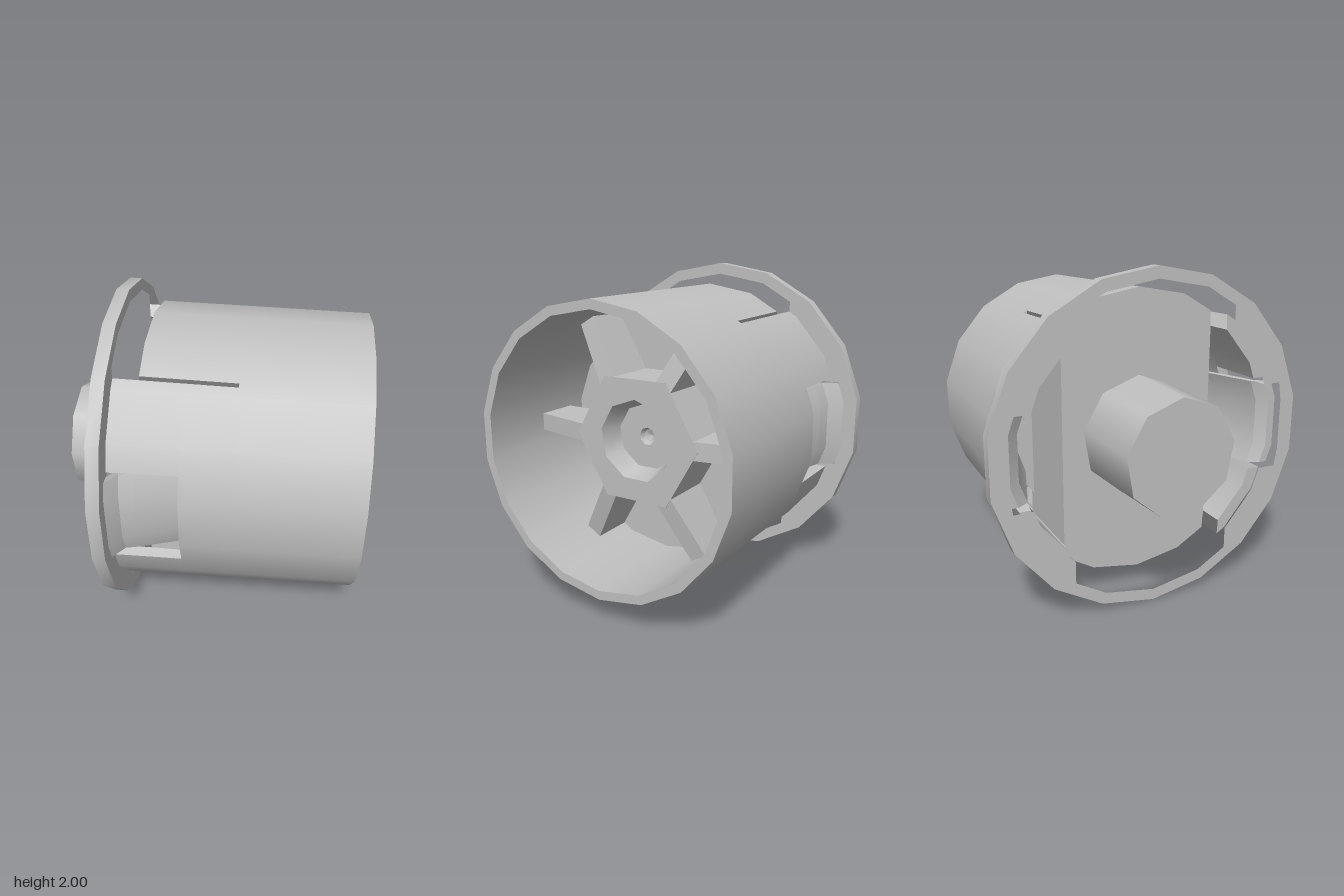
import * as THREE from 'three';
import { toCreasedNormals } from 'three/addons/utils/BufferGeometryUtils.js';

const RAD = Math.PI / 180;

// Straight cut at a given distance beside a direction: gives the angle for each radius
const cut = (centre, distance) => r => centre + Math.asin(distance / r) / RAD;

// Sweep a closed [x, radius] profile around the x axis between two angles or cuts
// (0 = up, 90 = +z), following an n-sided polygon with a corner at the top.
function sweep(profile, from = () => 0, to = () => 360, n = 18) {
  const pts = profile.map(p => new THREE.Vector2(...p));
  if (THREE.ShapeUtils.isClockWise(pts)) pts.reverse();
  const step = 360 / n, a0 = from(0.85), a1 = to(0.85);
  const angles = [from];
  for (let a = (Math.floor(a0 / step) + 1) * step; a < a1 - 0.01; a += step) angles.push(() => a);
  angles.push(to);
  const pos = [], nor = [];
  const vertex = (p, angle, normal) => {
    const a = angle(p.y);
    const off = a - (Math.floor(a / step) + 0.5) * step;
    const r = p.y * Math.cos(step / 2 * RAD) / Math.cos(off * RAD);
    const c = Math.cos(a * RAD), s = Math.sin(a * RAD);
    pos.push(p.x, r * c, r * s);
    nor.push(normal[0], normal[1] * c - normal[2] * s, normal[1] * s + normal[2] * c);
  };
  for (let j = 0; j < angles.length - 1; j++) {
    const A = angles[j], B = angles[j + 1];
    pts.forEach((p, i) => {
      const q = pts[(i + 1) % pts.length];
      const d = q.clone().sub(p).normalize(), normal = [d.y, -d.x, 0];
      if (q.y > 0) [[p, A], [q, A], [q, B]].forEach(v => vertex(...v, normal));
      if (p.y > 0) [[p, A], [q, B], [p, B]].forEach(v => vertex(...v, normal));
    });
  }
  if (a1 - a0 < 359) {
    for (const [i, j, k] of THREE.ShapeUtils.triangulateShape(pts, [])) {
      [i, k, j].forEach(v => vertex(pts[v], from, [0, 0, -1]));
      [i, j, k].forEach(v => vertex(pts[v], to, [0, 0, 1]));
    }
  }
  const g = new THREE.BufferGeometry();
  g.setAttribute('position', new THREE.Float32BufferAttribute(pos, 3));
  g.setAttribute('normal', new THREE.Float32BufferAttribute(nor, 3));
  return g;
}

// Mirror a quarter outline (top to side) into a whole one
function mirrored(quarter) {
  const flip = (sx, sy) => quarter.map(([x, y]) => new THREE.Vector2(x * sx, y * sy));
  const out = [...flip(1, 1), ...flip(1, -1).reverse(), ...flip(-1, -1), ...flip(-1, 1).reverse()];
  return out.filter((p, i) => p.distanceTo(out[(i + 1) % out.length]) > 1e-4);
}

const polygon = (r, n, start = 0) => Array.from({ length: n }, (_, i) => {
  const a = start + i * 2 * Math.PI / n;
  return new THREE.Vector2(r * Math.sin(a), r * Math.cos(a));
});

// Flat plate facing along x, from x0 to x1
function plate(outline, hole, x0, x1) {
  const shape = new THREE.Shape(outline);
  if (hole) shape.holes.push(new THREE.Path(hole));
  const g = new THREE.ExtrudeGeometry(shape, { depth: x1 - x0, bevelEnabled: false });
  g.rotateY(Math.PI / 2).translate(x0, 0, 0);
  return toCreasedNormals(g, 0.45);
}

export function createModel() {
  const model = new THREE.Group();
  const grey = new THREE.MeshStandardMaterial({ color: 0xc0c0c0 });
  grey.name = 'plain grey';
  const add = (name, geometry) => {
    const mesh = new THREE.Mesh(geometry, grey);
    mesh.name = name;
    mesh.position.y = 1;
    model.add(mesh);
  };

  // Tapered tube wall between two x positions
  const outer = x => 0.864 - 0.016 * x;
  const wall = (x0, x1) => [[x0, 0.795], [x1, 0.795], [x1, outer(x1)], [x0, outer(x0)]];
  add('tube', sweep(wall(0.16, 0.875)));
  for (const side of [0, 180]) {
    add('tubeSide', sweep(wall(-0.13, 0.16), cut(side, 0.51), cut(side + 180, -0.51)));
    add('tubeFoot', sweep(wall(-0.52, -0.13), cut(side, 0.51), cut(side + 90, -0.3)));
    add('tubeFoot', sweep(wall(-0.52, -0.13), cut(side + 90, 0.3), cut(side + 180, -0.51)));
    // Broad tab between the top and bottom slots
    add('tab', sweep(wall(-0.38, 0.16), cut(side, -0.49), cut(side, 0.49)));
    // Spring hook flaring outward through the side window
    add('sideHook', sweep([
      [0.16, 0.69], [0, 0.69], [-0.38, 0.815], [-0.46, 0.835], [-0.52, 0.915],
      [-0.52, 0.865], [-0.475, 0.8], [-0.38, 0.77], [0, 0.65], [0.16, 0.65],
    ], cut(side + 90, -0.27), cut(side + 90, 0.27)));
  }

  // Flange ring with notches for the tabs and hooks
  add('flange', plate(polygon(1, 18), mirrored([
    [0, 0.93], [0.318, 0.874], [0.51, 0.763], [0.51, 0.63], [0.52, 0.62],
    [0.701, 0.405], [0.75, 0.27], [0.865, 0.27], [0.885, 0.16],
  ]), -0.595, -0.52));

  // Flat-sided core carrying the tabs, and the round floor carrying the hooks
  add('core', plate(mirrored([
    [0, 0.8], [0.274, 0.752], [0.49, 0.625],
  ]), null, -0.38, 0.16));
  add('floor', plate(polygon(0.69, 18), null, 0.12, 0.16));

  // Nine-sided hub with a shallow socket and a centre dimple
  add('hub', sweep([
    [-0.875, 0], [-0.875, 0.342], [-0.38, 0.362], [0.45, 0.362], [0.5, 0.34],
    [0.5, 0.25], [0.37, 0.205], [0.37, 0.055], [0.34, 0.04], [0.325, 0],
  ], () => 0, () => 360, 9));

  // Hexagonal collar with six sloping spokes
  add('hubCollar', plate(polygon(0.427, 6, Math.PI / 6), polygon(0.3, 9), 0.16, 0.5));
  const profile = new THREE.Shape([
    [0.33, 0.16], [0.81, 0.16], [0.81, 0.42], [0.39, 0.5], [0.33, 0.5],
  ].map(p => new THREE.Vector2(...p)));
  const toRadial = new THREE.Matrix4().makeBasis(
    new THREE.Vector3(0, 1, 0), new THREE.Vector3(1, 0, 0), new THREE.Vector3(0, 0, -1));
  for (let i = 0; i < 6; i++) {
    const g = new THREE.ExtrudeGeometry(profile, { depth: 0.11, bevelEnabled: false });
    g.translate(0, 0, -0.055).applyMatrix4(toRadial).rotateX((30 + 60 * i) * RAD);
    add('spoke', g);
  }
  return model;
}
